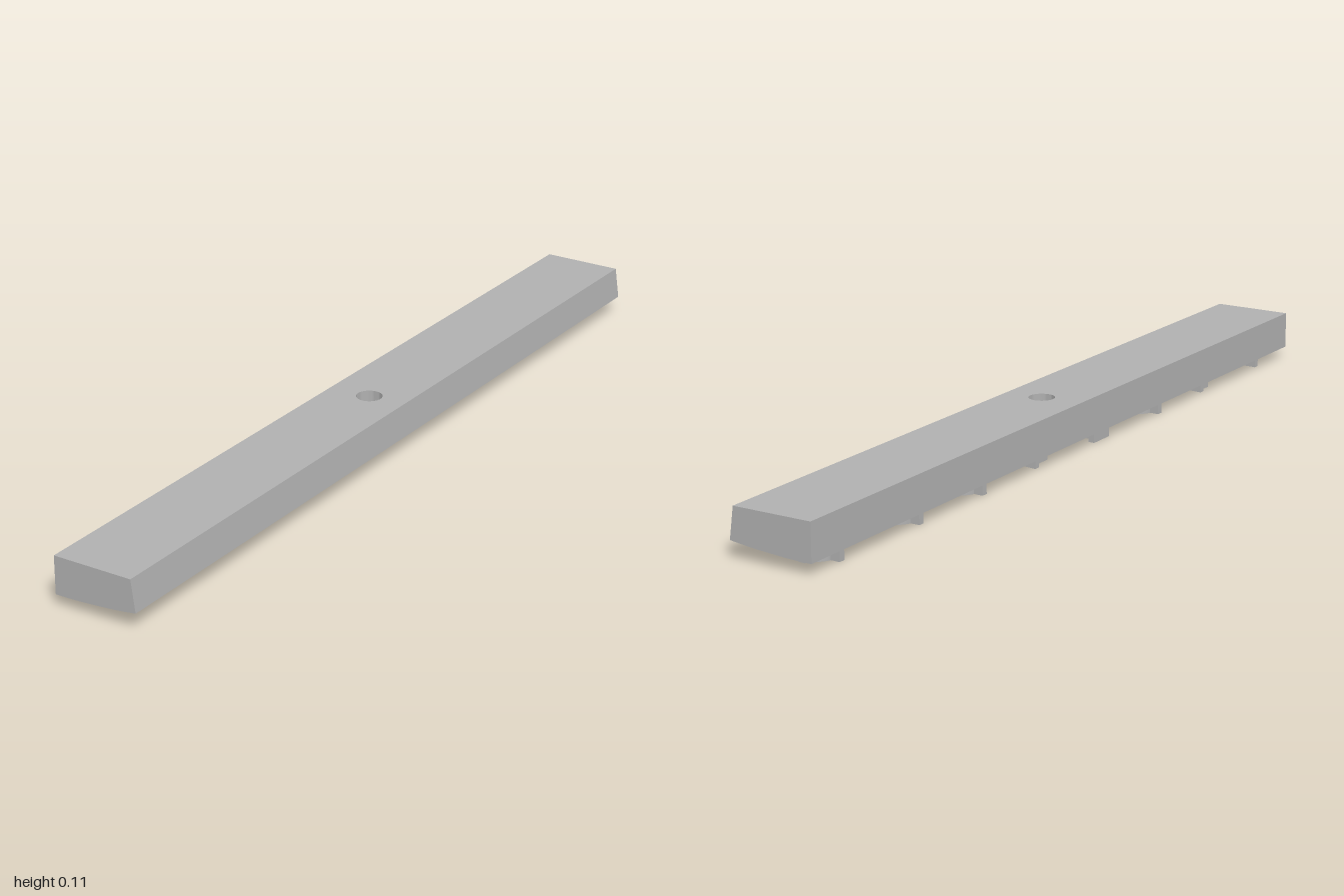
import * as THREE from 'three';
import { toCreasedNormals } from 'three/addons/utils/BufferGeometryUtils.js';

const TOP = 0.115;
const BOSS_HEIGHT = 0.026;
// gently curved underside
const underside = (x) => 0.028 + 0.014 * ((x + 0.1) / 0.2) ** 2;

// rectangle in plan; plan y is -z
function rect(x0, x1, z0, z1) {
  return new THREE.Shape([
    new THREE.Vector2(x0, -z1), new THREE.Vector2(x1, -z1),
    new THREE.Vector2(x1, -z0), new THREE.Vector2(x0, -z0),
  ]);
}

function ring(x, z, outer, inner) {
  const s = new THREE.Shape().absarc(x, -z, outer, 0, Math.PI * 2, false);
  s.holes.push(new THREE.Path().absarc(x, -z, inner, 0, Math.PI * 2, true));
  return s;
}

// extrude a plan upward, then place each corner by rule(x, isTop) -> [x, y]
function raise(shape, rule) {
  const g = new THREE.ExtrudeGeometry(shape, { depth: 1, bevelEnabled: false, curveSegments: 16 });
  g.rotateX(-Math.PI / 2);
  const p = g.attributes.position;
  for (let i = 0; i < p.count; i++) {
    const [x, y] = rule(p.getX(i), p.getY(i) > 0.5);
    p.setX(i, x);
    p.setY(i, y);
  }
  g.computeVertexNormals();
  return toCreasedNormals(g, 0.5);
}

export function createModel() {
  const model = new THREE.Group();
  const grey = new THREE.MeshStandardMaterial({ color: 0xb0b0b0 });
  grey.name = 'plain grey';

  const add = (parent, geometry, name) => {
    const mesh = new THREE.Mesh(geometry, grey);
    mesh.name = name;
    parent.add(mesh);
  };

  // bar: lengthwise strips follow the curved underside, the middle one has the hole
  const bar = new THREE.Group();
  bar.name = 'bar';
  model.add(bar);
  const edges = [-0.1, -0.067, -0.035, 0.035, 0.067, 0.1];
  for (let i = 0; i < edges.length - 1; i++) {
    const strip = rect(edges[i], edges[i + 1], -1, 1);
    if (i === 2) strip.holes.push(new THREE.Path().absarc(0, 0, 0.03, 0, Math.PI * 2, true));
    const geometry = raise(strip, (x, top) => (top ? [Math.min(x, 0.09), TOP] : [x, underside(x)]));
    add(bar, geometry, i === 2 ? 'drilledStrip' : 'barStrip');
  }

  // raised bosses under the bar
  const bosses = new THREE.Group();
  bosses.name = 'undersideBosses';
  model.add(bosses);
  const boss = (shape, name) => add(bosses, raise(shape, (x, top) =>
    [x, underside(x) + (top ? 0.004 : -BOSS_HEIGHT)]), name);

  // ring bosses with tabs: z centre and half width
  const ringX = -0.035;
  for (const [z, half] of [[-0.892, 0.053], [-0.615, 0.055], [-0.378, 0.038], [0.372, 0.066]]) {
    boss(ring(ringX, z, 0.038, 0.026), 'ringBoss');
    boss(rect(-0.094, -0.07, z - 0.008, z + 0.008), 'ringTab');
    if (half > 0.04) {
      boss(rect(-0.043, -0.027, z - half, z - 0.034), 'ringTab');
      boss(rect(-0.043, -0.027, z + 0.034, z + half), 'ringTab');
    }
  }

  // angled rib bosses: x0, x1, z0, z1
  const ribs = [
    [-0.085, 0.025, -0.162, -0.147], [-0.07, -0.055, -0.15, -0.087],
    [-0.02, -0.005, 0.06, 0.16], [-0.09, -0.02, 0.1, 0.115], [-0.09, -0.075, 0.08, 0.145],
    [-0.085, 0.01, 0.585, 0.6], [-0.005, 0.01, 0.6, 0.66], [-0.075, -0.06, 0.6, 0.64],
    [-0.085, -0.055, 0.865, 0.88],
  ];
  for (const r of ribs) boss(rect(...r), 'ribBoss');

  return model;
}
